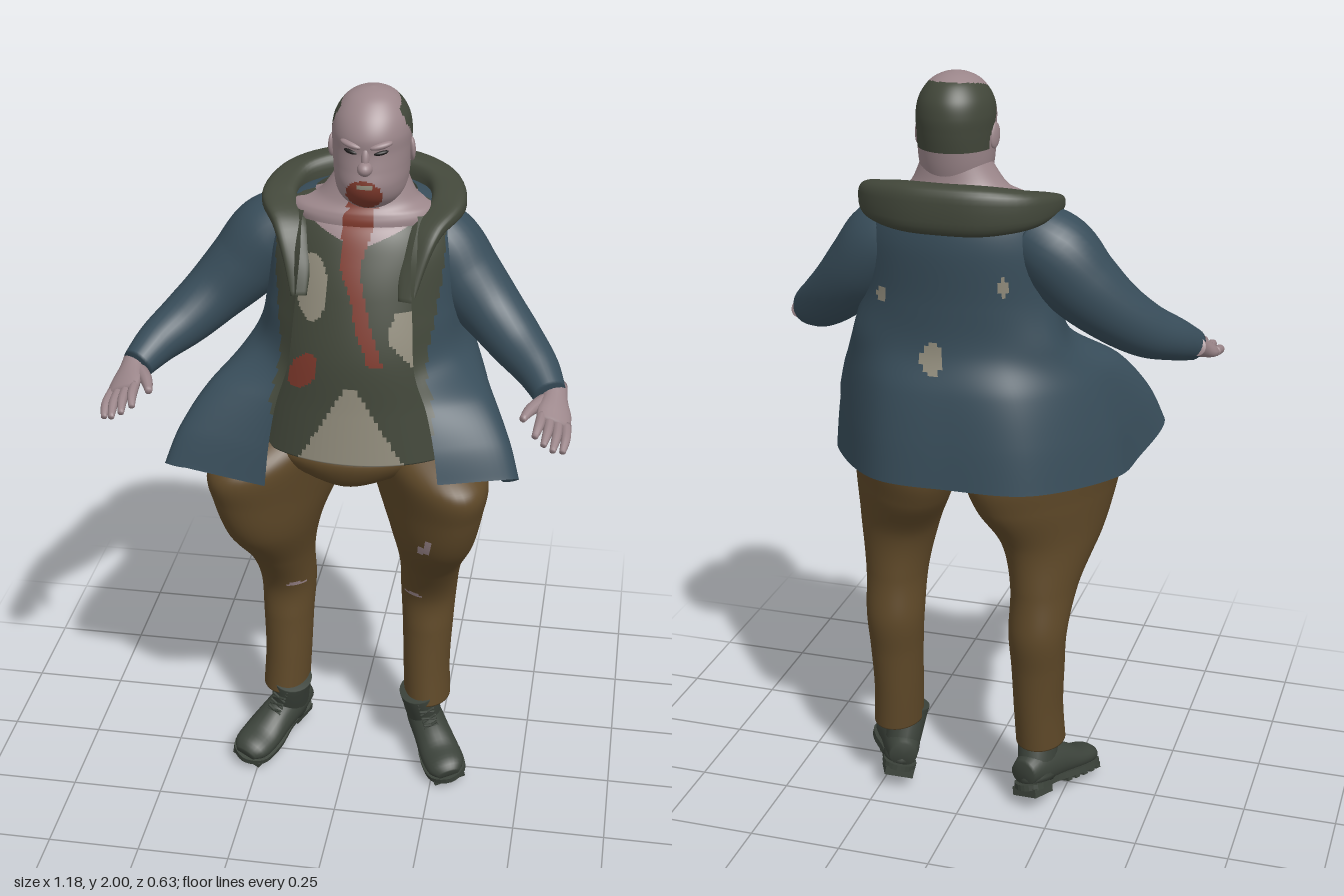
import * as THREE from 'three';

const mat = (name, color, side = THREE.FrontSide) => Object.assign(new THREE.MeshStandardMaterial({ color, side }), { name });
const skin = mat('skin', 0x9b868a);
const olive = mat('olive cloth and hair', 0x42473a, THREE.DoubleSide);
const blue = mat('blue jacket cloth', 0x384d5a, THREE.DoubleSide);
const brown = mat('brown trouser cloth', 0x5e4828);
const blood = mat('dried blood', 0x7e392c);
const beige = mat('beige underlayer', 0x918c7c, THREE.DoubleSide);
const leather = mat('boot leather', 0x3b423a);
const dark = mat('dark eye', 0x1e1c1c);

// Catmull-Rom interpolation of rows of numbers
const spline = rows => t => {
  const n = rows.length - 1, s = Math.min(Math.max(t, 0), 0.99999) * n, i = Math.floor(s), f = s - i;
  return rows[0].map((_, k) => {
    const [a, b, c, d] = [-1, 0, 1, 2].map(j => rows[Math.min(Math.max(i + j, 0), n)][k]);
    return b + 0.5 * f * (c - a + f * (2 * a - 5 * b + 4 * c - d + f * (3 * (b - c) + d - a)));
  });
};

// Smooth grid surface; rule(p, u) picks the material index of each quad
function grid(name, fn, nu, nv, mats, rule = () => 0, wrap = true) {
  const cols = wrap ? nu : nu + 1, pts = [], lists = mats.map(() => []);
  for (let j = 0; j <= nv; j++) for (let i = 0; i < cols; i++) pts.push(fn(i / nu, j / nv, j));
  let volume = 0;
  const V = i => new THREE.Vector3(...pts[i]);
  for (let j = 0; j < nv; j++) for (let i = 0; i < nu; i++) {
    const i2 = (i + 1) % cols, a = j * cols + i, b = j * cols + i2, c = a + cols, d = b + cols;
    const mid = V(a).add(V(b)).add(V(c)).add(V(d)).multiplyScalar(0.25);
    lists[rule(mid, (i + 0.5) / nu)].push([a, b, d], [a, d, c]);
    volume += V(a).dot(V(b).cross(V(d))) + V(a).dot(V(d).cross(V(c)));
  }
  const g = new THREE.BufferGeometry(), index = [];
  g.setAttribute('position', new THREE.Float32BufferAttribute(pts.flat(), 3));
  lists.forEach((l, m) => {
    if (l.length) g.addGroup(index.length, l.length * 3, m);
    for (const [a, b, c] of l) volume < 0 ? index.push(a, c, b) : index.push(a, b, c);
  });
  g.setIndex(index);
  g.computeVertexNormals();
  const mesh = new THREE.Mesh(g, mats);
  mesh.name = name;
  return mesh;
}

// Capped loft of horizontal rings: rows [y, cx, cz, halfWidth, frontDepth, backDepth, optional shear of x by z]
function loft(name, rows, nu, nv, mats, rule) {
  const at = spline(rows);
  return grid(name, (u, v, j) => {
    const [y, cx, cz, rx, rf, rb, shear = 0] = at((j - 1) / (nv - 2)), k = j === 0 || j === nv ? 0 : 1;
    const a = u * Math.PI * 2, c = Math.cos(a), dz = k * c * (c > 0 ? rf : rb);
    return [cx + k * rx * Math.sin(a) + shear * dz, y, cz + dz];
  }, nu, nv, mats, rule);
}

// Capped tube along rows [x, y, z, sideRadius, otherRadius]; power below 1 squares the section
function tube(name, rows, nu, nv, mats, power = 1) {
  const at = spline(rows), up = new THREE.Vector3(0, 1, 0), bend = c => Math.sign(c) * Math.abs(c) ** power;
  return grid(name, (u, v, j) => {
    const t = Math.min(Math.max((j - 1) / (nv - 2), 0), 1), [x, y, z, ra, rb] = at(t), k = j === 0 || j === nv ? 0 : 1;
    const T = new THREE.Vector3(...at(t + 0.01).slice(0, 3)).sub(new THREE.Vector3(...at(t - 0.01).slice(0, 3))).normalize();
    const S = T.clone().cross(up).normalize(), N = S.clone().cross(T), a = u * Math.PI * 2;
    return new THREE.Vector3(x, y, z).addScaledVector(S, k * ra * bend(Math.cos(a))).addScaledVector(N, k * rb * bend(Math.sin(a))).toArray();
  }, nu, nv, mats);
}

function solid(name, geometry, material, pos, rot = [0, 0, 0], scale = [1, 1, 1]) {
  const m = new THREE.Mesh(geometry, material);
  m.name = name;
  m.position.set(...pos); m.rotation.set(...rot); m.scale.set(...scale);
  return m;
}
const ball = (name, material, pos, scale, rot) => solid(name, new THREE.SphereGeometry(1, 20, 14), material, pos, rot, scale);
const inside = (x, y, cx, cy, rx, ry) => ((x - cx) / rx) ** 2 + ((y - cy) / ry) ** 2 < 1;
// Blood trail running down from the chin
const trailAt = spline([[0.09, 0.018], [0.062, 0.02], [0.042, 0.018], [0.02, 0.026], [0.03, 0.036], [0.04, 0.036]]);
const trail = p => {
  const [x, w] = trailAt((p.y - 1.34) / 0.4);
  return p.z > -0.02 && p.y > 1.34 && Math.abs(p.x - x) < w;
};
// Centre line of the tear at the side of the shirt
const tearAt = spline([[0.245], [0.2], [0.15], [0.165]]);

function makeHead() {
  const g = new THREE.Group();
  g.name = 'head';
  const rows = [[1.7, 0.05, 0.06, 0.05], [1.715, 0.068, 0.085, 0.08], [1.745, 0.086, 0.117, 0.09], [1.78, 0.093, 0.13, 0.1],
    [1.82, 0.096, 0.124, 0.108], [1.86, 0.098, 0.118, 0.114], [1.9, 0.099, 0.118, 0.116], [1.94, 0.09, 0.1, 0.107],
    [1.975, 0.066, 0.068, 0.08], [1.993, 0.036, 0.036, 0.045], [2, 0.004, 0.004, 0.004]];
  g.add(loft('skull', rows.map(([y, rx, f, b]) => [y, 0.05, -0.06, rx, f, b]), 90, 110, [skin, olive, blood, beige], p => {
    const dx = p.x - 0.05;
    if (p.z > 0 && Math.abs(dx) < 0.022 && Math.abs(p.y - 1.785) < 0.005) return 3;
    if (p.z > 0 && inside(dx, p.y, -0.004, 1.758, 0.046, 0.042)) return 2;
    const bald = p.y > 1.9 && inside(dx, p.z, 0, -0.03, 0.073, 0.1);
    const hairline = p.z > -0.085 ? 1.92 + (p.z + 0.02) * 1.1 : 1.815;
    return !bald && p.z < -0.02 && p.y > hairline ? 1 : 0;
  }));
  g.add(ball('nose', skin, [0.05, 1.83, 0.062], [0.019, 0.018, 0.024]), ball('noseBridge', skin, [0.05, 1.855, 0.053], [0.011, 0.03, 0.014], [-0.25, 0, 0]));
  for (const s of [-1, 1]) {
    g.add(ball('eye', dark, [0.05 + s * 0.037, 1.868, 0.046], [0.019, 0.006, 0.009], [0, s * 0.4, s * 0.15]));
    g.add(ball('brow', skin, [0.05 + s * 0.037, 1.886, 0.045], [0.03, 0.009, 0.014], [0, s * 0.4, s * 0.2]));
    g.add(ball('ear', skin, [0.05 + s * 0.099, 1.845, -0.06], [0.009, 0.033, 0.02], [0.2, s * 0.3, 0]));
  }
  return g;
}

function makeArm(s) {
  const g = new THREE.Group();
  g.name = s > 0 ? 'leftArm' : 'rightArm';
  const rows = list => list.map(([x, y, z, a, b = a]) => [s * x, y, z, a, b]);
  g.add(tube('sleeve', rows([[0.15, 1.62, -0.11, 0.085], [0.22, 1.575, -0.11, 0.103], [0.285, 1.497, -0.097, 0.098], [0.36, 1.422, -0.065, 0.083],
    [0.43, 1.362, -0.012, 0.071], [0.49, 1.322, 0.055, 0.057], [0.53, 1.287, 0.125, 0.042]]), 28, 44, [blue]));

  // hand, rolled so that its outer edge hangs lower; coordinates are relative to the knuckles
  const hand = new THREE.Group();
  hand.name = 'hand';
  const handRows = list => list.map(([x, ...r]) => [s * x, ...r]);
  hand.add(tube('palm', handRows([[-0.02, 0.035, -0.125, 0.03, 0.027], [-0.012, 0.02, -0.08, 0.034, 0.025],
    [-0.004, 0.008, -0.035, 0.046, 0.021], [0, 0, 0.007, 0.045, 0.014]]), 18, 14, [skin]));
  [-0.033, -0.011, 0.011, 0.033].forEach((o, i) => {
    const tip = [0.07, 0.09, 0.098, 0.082][i];
    hand.add(tube('finger', handRows([[o, 0.002, -0.01, 0.013, 0.013], [o * 1.1 + 0.003, -0.006, tip / 2, 0.0125, 0.0125],
      [o * 1.15 + 0.003, -0.022, tip, 0.008, 0.008]]), 10, 10, [skin]));
  });
  hand.add(tube('thumb', handRows([[-0.03, 0.01, -0.08, 0.02, 0.02], [-0.06, -0.002, -0.025, 0.016, 0.016], [-0.075, -0.014, 0.025, 0.009, 0.009]]), 10, 10, [skin]));
  hand.position.set(s * 0.546, 1.256, 0.215);
  hand.rotation.z = -s * 0.4;
  g.add(hand);
  return g;
}

function makeLeg(s) {
  // the hips lean outward to the front and inward to the seat
  const rows = [[0.19, 0.205, -0.095, 0.066, 0.086, 0], [0.3, 0.2, -0.105, 0.066, 0.083, 0], [0.42, 0.2, -0.115, 0.071, 0.081, 0],
    [0.53, 0.2, -0.122, 0.078, 0.086, 0], [0.65, 0.207, -0.08, 0.086, 0.112, 0.1], [0.78, 0.214, -0.027, 0.114, 0.165, 0.25],
    [0.9, 0.2, -0.035, 0.138, 0.215, 0.38], [1, 0.19, -0.038, 0.152, 0.228, 0.4], [1.08, 0.15, -0.05, 0.14, 0.14, 0.3]];
  return loft(s > 0 ? 'leftTrouserLeg' : 'rightTrouserLeg', rows.map(([y, x, z, rx, rz, shear]) => [y, 0.01 + s * x, z, rx, rz, rz, s * shear]),
    48, 140, [brown, skin], p => p.z > -0.1 && (inside(p.x, p.y, 0.01 + s * 0.165, 0.55, 0.03, 0.006) ||
      (s > 0 && inside(p.x - (p.y - 0.81) * 0.3, p.y, 0.225, 0.81, 0.012, 0.03))) ? 1 : 0);
}

function makeBoot(s) {
  const g = new THREE.Group();
  g.name = s > 0 ? 'leftBoot' : 'rightBoot';
  g.add(loft('bootShaft', [[0.03, 0, -0.02, 0.045, 0.06, 0.06], [0.1, 0, -0.01, 0.05, 0.065, 0.06], [0.16, 0, 0, 0.053, 0.06, 0.06],
    [0.19, 0, 0, 0.055, 0.06, 0.06]], 24, 14, [leather]));
  g.add(tube('bootFoot', [[0, 0.06, -0.08, 0.038, 0.035], [0, 0.07, -0.02, 0.05, 0.055], [0, 0.065, 0.06, 0.053, 0.05],
    [0, 0.05, 0.13, 0.057, 0.036], [0, 0.046, 0.185, 0.052, 0.03], [0, 0.04, 0.212, 0.03, 0.015]], 24, 24, [leather]));
  const outline = new THREE.Shape();
  outline.setFromPoints(new THREE.CatmullRomCurve3([[0, -0.095], [0.042, -0.07], [0.043, 0.02], [0.06, 0.12], [0.05, 0.195], [0, 0.222],
    [-0.05, 0.195], [-0.06, 0.12], [-0.043, 0.02], [-0.042, -0.07]].map(([x, y]) => new THREE.Vector3(x, y, 0)), true).getPoints(40).map(p => new THREE.Vector2(p.x, p.y)));
  g.add(solid('sole', new THREE.ExtrudeGeometry(outline, { depth: 0.016, bevelEnabled: false }), leather, [0, 0.032, 0], [Math.PI / 2, 0, 0]));
  g.add(solid('heel', new THREE.BoxGeometry(0.08, 0.024, 0.075), leather, [0, 0.008, -0.045]));
  for (let i = 0; i < 5; i++) g.add(solid('tread', new THREE.BoxGeometry(0.1 - Math.abs(i - 2.5) * 0.006, 0.016, 0.018), leather, [0, 0.011, 0.07 + i * 0.031]));
  for (let i = 0; i < 4; i++) for (const t of [-1, 1])
    g.add(solid('lace', new THREE.CapsuleGeometry(0.004, 0.04, 3, 6), leather, [0, 0.112 + i * 0.02, 0.078 - i * 0.008], [0, 0, Math.PI / 2 + t * 0.35]));
  g.position.set(0.01 + s * 0.215, 0.034, -0.1);
  g.rotation.set(0.13, s * 0.42, s * 0.24, 'YXZ');
  return g;
}

function makeJacket() {
  const N = 11;
  // level: y, centre z, half width, front depth, back depth, half angle of the front opening
  const levels = [[1.715, -0.1, 0.13, 0.08, 0.13, 0.9], [1.685, -0.1, 0.2, 0.14, 0.155, 0.8], [1.6, -0.1, 0.24, 0.225, 0.168, 0.62],
    [1.45, -0.1, 0.255, 0.275, 0.155, 0.63], [1.33, -0.1, 0.285, 0.305, 0.155, 0.6]].map(([y, cz, rx, rf, rb, open]) => Array.from({ length: N }, (_, i) => {
    const a = open + (2 * Math.PI - 2 * open) * i / (N - 1), c = Math.cos(a);
    return [0.03 + rx * Math.sin(a), y, cz + c * (c > 0 ? rf : rb)];
  }).flat());
  // flared hem, and the skirt between it and the waist
  const waist = levels[4], hem = [[0.27, 1.09, 0.28], [0.46, 1.08, 0.2], [0.415, 0.99, 0.06], [0.38, 0.97, -0.08], [0.21, 0.985, -0.285], [0, 0.99, -0.315],
    [-0.21, 0.985, -0.28], [-0.37, 0.97, -0.08], [-0.405, 0.97, 0.08], [-0.44, 1.05, 0.21], [-0.18, 1.02, 0.235]].flat();
  for (const [fx, fy] of [[0.5, 0.3], [0.82, 0.65]]) levels.push(waist.map((w, k) => w + (hem[k] - w) * (k % 3 === 1 ? fy : fx)));
  levels.push(hem);
  const at = spline(levels);
  return grid('jacketBody', (u, v) => {
    const row = at(v);
    return spline(Array.from({ length: N }, (_, i) => row.slice(i * 3, i * 3 + 3)))(u);
  }, 120, 80, [blue, olive, beige], (p, u) => {
    if (p.z < -0.15 && (inside(p.x, p.y, 0.055, 1.315, 0.03, 0.042) || inside(p.x, p.y, -0.12, 1.51, 0.01, 0.03) || inside(p.x, p.y, 0.2, 1.46, 0.015, 0.02))) return 2;
    return Math.min(u, 1 - u) < (p.y - 1.19) * 0.235 ? 1 : 0;
  }, false);
}

export function createModel() {
  const model = new THREE.Group();
  model.name = 'heavyMan';
  model.add(makeHead());
  model.add(loft('neckAndChest', [[1.6, 0.03, -0.07, 0.15, 0.1, 0.1], [1.665, 0.03, -0.08, 0.185, 0.12, 0.12], [1.695, 0.03, -0.08, 0.18, 0.115, 0.12],
    [1.722, 0.04, -0.07, 0.125, 0.09, 0.09], [1.8, 0.05, -0.07, 0.08, 0.07, 0.08]], 60, 40, [skin, blood], p => trail(p) ? 1 : 0));

  // shirt with a curved neckline, stains and torn patches
  const shirt = [[1.065, -0.05, 0.3, 0.225, 0.18], [1.2, -0.05, 0.275, 0.215, 0.18], [1.35, -0.05, 0.245, 0.205, 0.17],
    [1.5, -0.05, 0.215, 0.168, 0.17], [1.6, -0.05, 0.2, 0.13, 0.15], [1.66, -0.06, 0.175, 0.108, 0.1], [1.69, -0.07, 0.15, 0.08, 0.07]];
  model.add(loft('shirt', shirt.map(([y, z, ...r]) => [y, 0.03, z, ...r]), 170, 140, [olive, blood, beige, skin], p => {
    if (p.z < -0.05) return 0;
    if (trail(p) || inside(p.x + (1.31 - p.y) * 0.4, p.y, -0.095, 1.305, 0.036, 0.05)) return 1;
    if (p.y > 1.62 + Math.abs(p.x - 0.035) * 0.4) return 3;
    const hemTear = p.y < 1.28 && Math.abs(p.x - 0.03) < 0.012 + (1.28 - p.y) * 0.58;
    const sideTear = p.y > 1.28 && p.y < 1.47 && Math.abs(p.x - tearAt((p.y - 1.28) / 0.19)[0]) < 0.03;
    return hemTear || sideTear || inside(p.x, p.y, -0.078, 1.52, 0.042, 0.08) ? 2 : 0;
  }));

  // jacket, with the folded hood running down into the lapels
  model.add(makeJacket());
  const half = [[0.135, 1.5, 0.1, 0.02, 0.006], [0.145, 1.58, 0.062, 0.035, 0.012], [0.17, 1.655, 0.01, 0.045, 0.018], [0.215, 1.69, -0.08, 0.045, 0.025],
    [0.19, 1.698, -0.19, 0.044, 0.046], [0.105, 1.702, -0.25, 0.042, 0.06], [0, 1.703, -0.265, 0.04, 0.062]];
  const hood = [...half, ...half.slice(0, -1).reverse().map(([x, ...r]) => [-x, ...r])];
  model.add(tube('hood', hood.map(([x, ...r]) => [x + 0.025, ...r]), 28, 70, [olive], 0.65));

  // trousers
  model.add(loft('trouserSeat', [[0.945, 0.01, -0.04, 0.04, 0.1, 0.13], [0.965, 0.01, -0.04, 0.11, 0.15, 0.17], [1, 0.01, -0.045, 0.2, 0.185, 0.2],
    [1.05, 0.01, -0.05, 0.27, 0.2, 0.2], [1.1, 0.01, -0.05, 0.25, 0.16, 0.17]], 48, 20, [brown]));
  for (const s of [-1, 1]) model.add(makeArm(s), makeLeg(s), makeBoot(s));
  return model;
}
